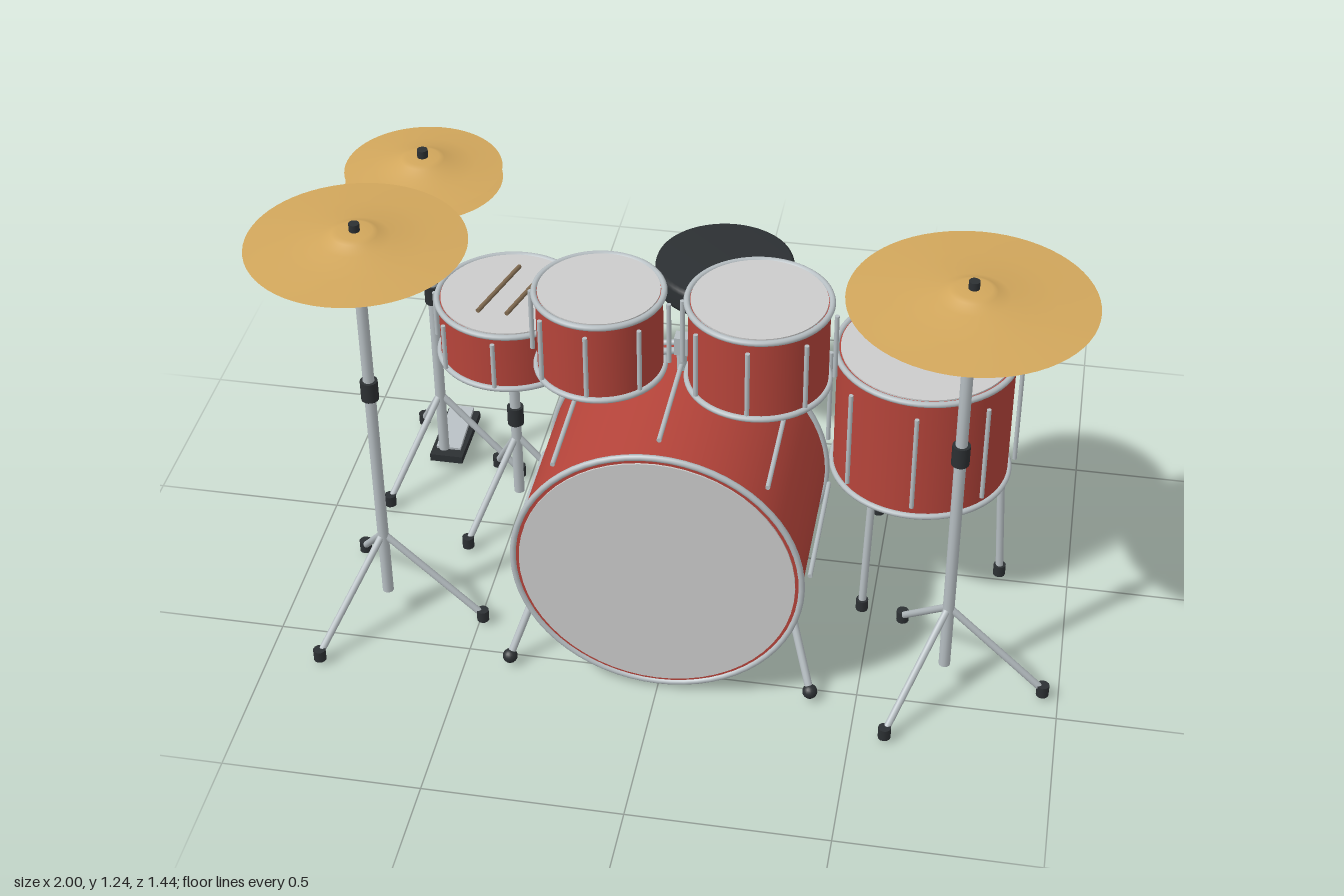
import * as THREE from 'three';

const mat = (color, side = THREE.FrontSide) => new THREE.MeshStandardMaterial({ color, side });
const V = (x, y, z) => new THREE.Vector3(x, y, z);

export function createModel() {
  const root = new THREE.Group();
  const red = mat(0xb5443a), chrome = mat(0xb6bec2), black = mat(0x2c3033), grey = mat(0xcccccc);
  const brass = mat(0xd2a75c, THREE.DoubleSide), wood = mat(0x806a50), felt = mat(0xe0dccb);

  const add = (parent, name, geo, material, x = 0, y = 0, z = 0) => {
    const m = new THREE.Mesh(geo, material);
    m.name = name;
    m.position.set(x, y, z);
    parent.add(m);
    return m;
  };
  const group = (name, x = 0, y = 0, z = 0) => {
    const g = new THREE.Group();
    g.name = name;
    g.position.set(x, y, z);
    root.add(g);
    return g;
  };
  const cyl = (r, h, n = 16) => new THREE.CylinderGeometry(r, r, h, n);

  // Straight rod between two points
  const rod = (parent, name, a, b, r, material = chrome) => {
    const m = add(parent, name, cyl(r, a.distanceTo(b), 12), material);
    m.position.copy(a).add(b).multiplyScalar(0.5);
    m.quaternion.setFromUnitVectors(V(0, 1, 0), b.clone().sub(a).normalize());
    return m;
  };

  // Drum about its own centre: shell, heads, hoops and eight tension rods
  const drum = (name, x, y, z, r, h, hoop = 0.008) => {
    const g = group(name, x, y, z);
    add(g, 'shell', cyl(r, h - 0.012, 56), red);
    for (const s of [-1, 1]) {
      add(g, 'head', cyl(r * 0.965, 0.006, 56), grey, 0, s * (h / 2 - 0.005), 0);
      const ring = add(g, 'hoop', new THREE.TorusGeometry(r + 0.003, hoop, 10, 64), chrome, 0, s * (h / 2 - hoop), 0);
      ring.rotation.x = Math.PI / 2;
    }
    for (let i = 0; i < 8; i++) {
      const a = i * Math.PI / 4, d = r + 0.016;
      add(g, 'tensionRod', cyl(0.006, h * 0.75, 10), chrome, d * Math.cos(a), 0, d * Math.sin(a));
    }
    return g;
  };

  // Post on three splayed legs, with a clamp collar
  const stand = (name, x, z, top, spread, collarY) => {
    const g = group(name, x, 0, z);
    rod(g, 'post', V(0, 0.08, 0), V(0, top, 0), 0.0145);
    add(g, 'collar', cyl(0.022, 0.055), black, 0, collarY, 0);
    for (let i = 0; i < 3; i++) {
      const a = i * Math.PI * 2 / 3, c = Math.cos(a) * spread, s = Math.sin(a) * spread;
      rod(g, 'leg', V(0, 0.27, 0), V(c, 0.03, s), 0.009);
      add(g, 'foot', cyl(0.016, 0.032, 12), black, c, 0.03, s);
    }
    return g;
  };

  // Thin hollow cymbal with a raised bell; y is the rim height
  const cymbal = (parent, name, y, r, bell) => {
    const pts = [[0.008, bell], [0.042, bell], [0.055, bell * 0.85], [0.085, bell * 0.48],
      [r * 0.65, bell * 0.2], [r, 0]].map(([px, py]) => new THREE.Vector2(px, py));
    add(parent, name, new THREE.LatheGeometry(pts.reverse(), 64), brass, 0, y, 0);
  };

  // Drums
  drum('bassDrum', 0, 0.38, 0.318, 0.355, 0.485).rotation.x = Math.PI / 2;
  drum('rightRackTom', -0.195, 0.87, 0.23, 0.155, 0.23);
  drum('leftRackTom', 0.195, 0.87, 0.215, 0.172, 0.24);
  drum('floorTom', 0.59, 0.545, -0.012, 0.225, 0.37);
  drum('snareDrum', -0.495, 0.643, -0.065, 0.185, 0.178);

  // Bass drum spurs
  const spurs = group('bassDrumSpurs');
  for (const s of [-1, 1]) {
    rod(spurs, 'spur', V(s * 0.325, 0.2, 0.45), V(s * 0.385, 0.03, 0.535), 0.01);
    add(spurs, 'spurFoot', new THREE.SphereGeometry(0.019, 16, 12), black, s * 0.385, 0.03, 0.535);
  }

  // Rack tom mount
  const mount = group('tomMount', 0, 0, 0.185);
  rod(mount, 'mountPost', V(0, 0.7, 0), V(0, 0.82, 0), 0.013);
  add(mount, 'mountBlock', new THREE.BoxGeometry(0.034, 0.05, 0.034), chrome, 0, 0.81, 0);
  for (const s of [-1, 1]) rod(mount, 'mountArm', V(0, 0.79, 0), V(s * 0.07, 0.79, 0.02), 0.009);

  // Floor tom legs
  const floorLegs = group('floorTomLegs', 0.59, 0, -0.012);
  for (let i = 0; i < 3; i++) {
    const a = i * Math.PI * 2 / 3, c = Math.cos(a), s = Math.sin(a);
    rod(floorLegs, 'floorTomLeg', V(c * 0.207, 0.42, s * 0.207), V(c * 0.229, 0.03, s * 0.229), 0.01);
    add(floorLegs, 'floorTomFoot', cyl(0.016, 0.032, 12), black, c * 0.229, 0.03, s * 0.229);
  }

  // Snare stand with basket arms, and sticks lying on the head
  const snareStand = stand('snareStand', -0.495, -0.06, 0.545, 0.205, 0.34);
  for (let i = 0; i < 3; i++) {
    const a = i * Math.PI * 2 / 3;
    rod(snareStand, 'basketArm', V(0, 0.53, 0), V(Math.cos(a) * 0.17, 0.552, Math.sin(a) * 0.17), 0.008);
  }
  const sticks = group('drumsticks');
  for (const x of [0, 0.075])
    rod(sticks, 'drumstick', V(-0.495 + x, 0.737, -0.18), V(-0.555 + x, 0.737, 0.035), 0.006, wood);

  // Cymbal stands
  for (const [name, x, z, y, r, bell, collar] of [
    ['leftCrash', 0.71, 0.43, 1.19, 0.288, 0.036, 0.75],
    ['rightCrash', -0.74, 0.395, 1.16, 0.264, 0.036, 0.73]]) {
    const g = stand(name, x, z, y + 0.035, 0.25, collar);
    cymbal(g, 'crashCymbal', y, r, bell);
    add(g, 'wingNut', cyl(0.013, 0.024), black, 0, y + 0.044, 0);
  }
  const hiHat = stand('hiHat', -0.743, -0.205, 1.03, 0.215, 0.605);
  cymbal(hiHat, 'lowerHiHatCymbal', 0.965, 0.203, 0.034);
  cymbal(hiHat, 'upperHiHatCymbal', 0.998, 0.203, 0.034);
  add(hiHat, 'hiHatClutch', cyl(0.014, 0.026), black, 0, 1.04, 0);

  // Foot pedals: dark base and sloping plate
  const pedal = (name, x, z) => {
    const g = group(name, x, 0, z);
    add(g, 'pedalBase', new THREE.BoxGeometry(0.092, 0.022, 0.215), black, 0, 0.032, 0);
    add(g, 'pedalPlate', new THREE.BoxGeometry(0.068, 0.012, 0.165), chrome, 0, 0.056, -0.005).rotation.x = 0.14;
    return g;
  };
  pedal('hiHatPedal', -0.743, -0.322);
  const bassPedal = pedal('bassPedal', 0, -0.065);
  rod(bassPedal, 'beaterShaft', V(0, 0.04, 0.08), V(0, 0.33, 0.115), 0.006);
  add(bassPedal, 'beater', new THREE.SphereGeometry(0.021, 20, 14), felt, 0, 0.335, 0.115).scale.y = 1.2;

  // Round padded stool
  const stool = stand('stool', 0, -0.492, 0.54, 0.245, 0.32);
  const seat = [[0, 0.53], [0.178, 0.53], [0.187, 0.535], [0.19, 0.545], [0.19, 0.59],
    [0.187, 0.6], [0.178, 0.606], [0, 0.606]].map(([x, y]) => new THREE.Vector2(x, y));
  add(stool, 'seat', new THREE.LatheGeometry(seat, 56), black);

  return root;
}
